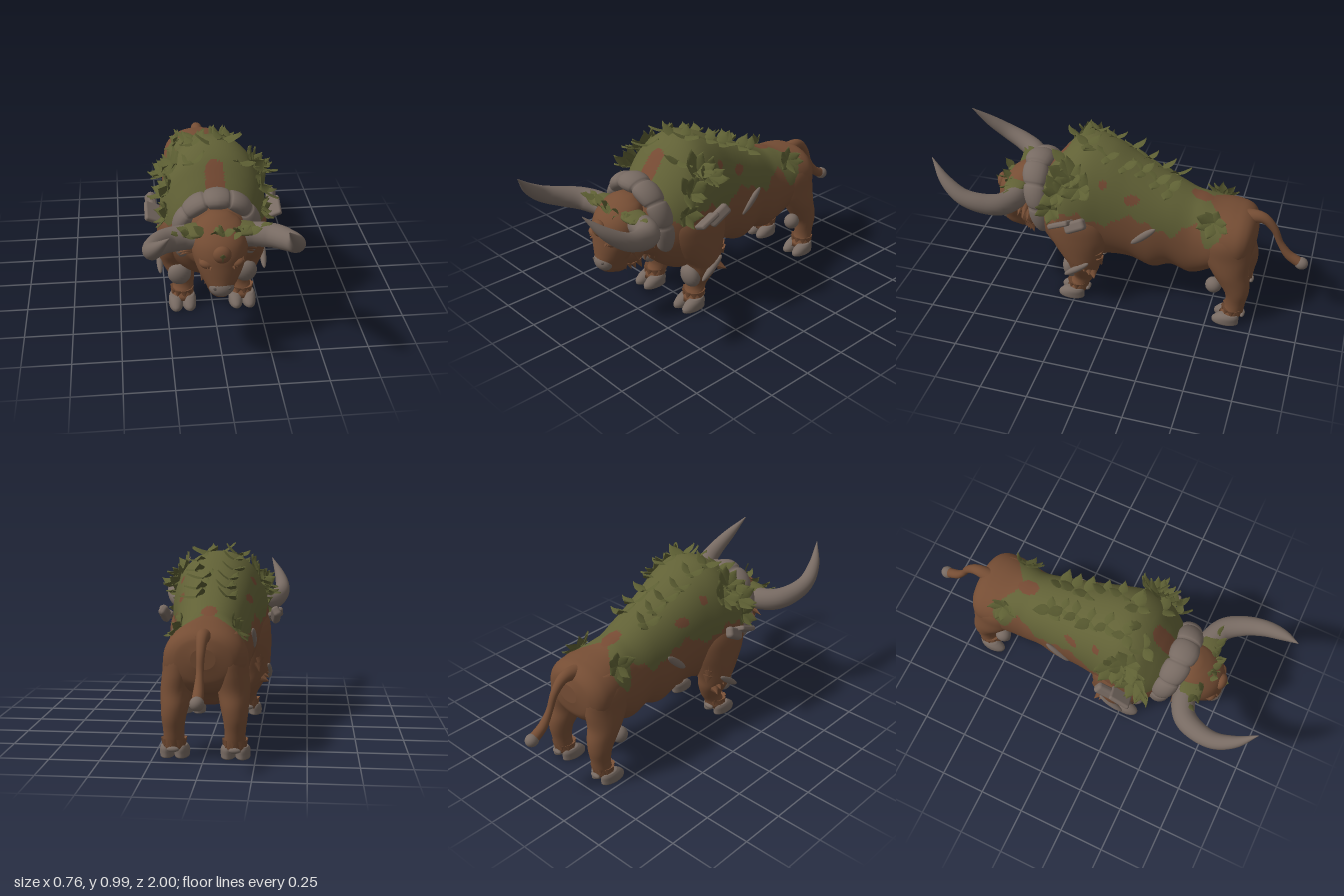
import * as THREE from 'three';
import { RoundedBoxGeometry } from 'three/addons/geometries/RoundedBoxGeometry.js';

const V = (x, y, z) => new THREE.Vector3(x, y, z);
const mat = (name, color, side = THREE.FrontSide) => {
  const m = new THREE.MeshStandardMaterial({ color, side });
  m.name = name;
  return m;
};

// Smooth interpolation of table rows [key, value, value, ...]
function sample(rows, k) {
  let i = 0;
  while (i < rows.length - 2 && k > rows[i + 1][0]) i++;
  const a = rows[i], b = rows[i + 1], p = rows[Math.max(i - 1, 0)], n = rows[Math.min(i + 2, rows.length - 1)];
  const h = b[0] - a[0], t = THREE.MathUtils.clamp((k - a[0]) / h, 0, 1), t2 = t * t, t3 = t2 * t;
  return a.slice(1).map((v, j) => {
    const w = b[j + 1];
    const m0 = (w - p[j + 1]) / (b[0] - p[0]) * h, m1 = (n[j + 1] - v) / (n[0] - a[0]) * h;
    return (2 * t3 - 3 * t2 + 1) * v + (t3 - 2 * t2 + t) * m0 + (3 * t2 - 2 * t3) * w + (t3 - t2) * m1;
  });
}

// Closed skin over rings point(u, angle); pick(centre) chooses a material slot
function loft(point, nu, nt, pick = () => 0) {
  const pts = [], slots = [[], [], []];
  for (let i = 0; i <= nu; i++)
    for (let j = 0; j < nt; j++) pts.push(point(i / nu, j / nt * Math.PI * 2));
  const face = (a, b, c) => {
    const mid = V(0, 0, 0).add(pts[a]).add(pts[b]).add(pts[c]).divideScalar(3);
    slots[pick(mid)].push(a, b, c);
  };
  for (let i = 0; i < nu; i++)
    for (let j = 0; j < nt; j++) {
      const a = i * nt + j, b = i * nt + (j + 1) % nt;
      face(a, b, b + nt);
      face(a, b + nt, a + nt);
    }
  for (const row of [0, nu]) {
    const c = V(0, 0, 0);
    for (let j = 0; j < nt; j++) c.addScaledVector(pts[row * nt + j], 1 / nt);
    const id = pts.push(c) - 1;
    for (let j = 0; j < nt; j++) {
      const a = row * nt + j, b = row * nt + (j + 1) % nt;
      if (row) face(a, b, id); else face(b, a, id);
    }
  }
  const g = new THREE.BufferGeometry().setFromPoints(pts);
  g.setIndex(slots.flat());
  let start = 0;
  slots.forEach((s, k) => { if (s.length) g.addGroup(start, s.length, k); start += s.length; });
  g.computeVertexNormals();
  return g;
}

// Stack of horizontal ellipses, rows [y, cx, cz, rx, rz]
function column(rows, side = 1, nt = 24, nu = 32) {
  const y0 = rows[0][0], y1 = rows[rows.length - 1][0];
  return loft((u, t) => {
    const y = y0 + (y1 - y0) * u, [cx, cz, rx, rz] = sample(rows, y);
    return V(cx * side + rx * Math.cos(t), y, cz - rz * Math.sin(t));
  }, nu, nt);
}

// Tapering tube along points [x, y, z, radius]
function taper(list, side = 1, nu = 48, nt = 20) {
  const curve = new THREE.CatmullRomCurve3(list.map(p => V(p[0] * side, p[1], p[2])));
  const f = curve.computeFrenetFrames(nu, false);
  const radii = list.map((p, i) => [i / (list.length - 1), p[3]]);
  return loft((u, t) => {
    const i = Math.round(u * nu), r = sample(radii, u)[0];
    return curve.getPoint(u).addScaledVector(f.normals[i], r * Math.cos(t)).addScaledVector(f.binormals[i], r * Math.sin(t));
  }, nu, nt);
}

// Body stations: z, top, bottom, half width
const BODY = [[-0.715, 0.55, 0.45, 0.06], [-0.70, 0.60, 0.38, 0.14], [-0.66, 0.635, 0.33, 0.19], [-0.6, 0.65, 0.31, 0.205],
  [-0.5, 0.665, 0.27, 0.198], [-0.43, 0.685, 0.22, 0.185], [-0.37, 0.70, 0.20, 0.18], [-0.27, 0.745, 0.235, 0.188],
  [-0.17, 0.79, 0.20, 0.205], [-0.05, 0.85, 0.245, 0.218], [0.08, 0.92, 0.245, 0.24], [0.2, 0.945, 0.205, 0.268],
  [0.3, 0.90, 0.205, 0.272], [0.38, 0.81, 0.255, 0.235], [0.45, 0.72, 0.33, 0.185], [0.52, 0.67, 0.37, 0.145], [0.57, 0.62, 0.42, 0.1]];
function bodyPoint(z, t) {
  const [top, bottom, w] = sample(BODY, z), half = (top - bottom) / 2;
  const c = Math.cos(t), s = Math.sin(t);
  return V(w * Math.sign(c) * Math.abs(c) ** 0.92, bottom + half + half * Math.sign(s) * Math.abs(s) ** 0.92, z);
}
// Lower edge of the moss along z
const MOSS = [[-0.62, 0.76], [-0.57, 0.68], [-0.545, 0.57], [-0.52, 0.5], [-0.46, 0.51], [-0.41, 0.6], [-0.35, 0.57], [-0.28, 0.52],
  [-0.22, 0.55], [-0.12, 0.6], [-0.04, 0.62], [0.04, 0.57], [0.12, 0.57], [0.2, 0.62], [0.3, 0.6], [0.36, 0.53], [0.42, 0.6], [0.5, 0.72]];
function bodySlot(p) {
  const back = Math.hypot(p.x, (p.z + 0.41) * 0.7) < 0.042;
  if (back) return 2;
  const rump = p.z < -0.44 - Math.abs(p.x) * 0.75;
  if (rump || p.y < sample(MOSS, p.z)[0] + 0.012 * Math.sin(p.z * 70)) return 0;
  const front = Math.hypot(p.x / 0.047, Math.max(p.y - 0.85, 0) / 0.035) < 1 && p.z > 0.25;
  const flank = Math.hypot(p.z + 0.07, (p.y - 0.71) * 1.6) < 0.04 || Math.hypot(p.z - 0.08, p.y - 0.79) < 0.022;
  return front || flank ? 2 : 1;
}

export function createModel() {
  const root = new THREE.Group();
  root.name = 'mossyBull';
  const hide = mat('brownHide', 0x754d34), moss = mat('moss', 0x616136), patch = mat('redBrownPatch', 0x754a33);
  const horn = mat('greyHorn', 0x776a62), leafMat = mat('leafGreen', 0x5d5f33, THREE.DoubleSide), shade = mat('darkGrey', 0x5a504a);
  let seed = 7;
  const rnd = (a = 0, b = 1) => { seed = (seed * 16807) % 2147483647; return a + (b - a) * seed / 2147483647; };
  const add = (name, geo, m) => {
    const mesh = new THREE.Mesh(geo, m);
    mesh.name = name;
    root.add(mesh);
    return mesh;
  };
  const ball = new THREE.SphereGeometry(1, 22, 16);
  const blob = (name, m, pos, size, rot = [0, 0, 0]) => {
    const b = add(name, ball, m);
    b.position.set(...pos); b.scale.set(...size); b.rotation.set(...rot);
  };
  const slab = (name, pos, size, rot) => {
    const b = add(name, new RoundedBoxGeometry(...size, 3, Math.min(...size) * 0.4), horn);
    b.position.set(...pos); b.rotation.set(...rot);
  };
  // Pointed, folded leaf growing along +y and curling towards +z
  const leafGeo = new THREE.PlaneGeometry(1, 1, 2, 6);
  const lp = leafGeo.attributes.position;
  for (let i = 0; i < lp.count; i++) {
    const s = lp.getY(i) + 0.5, x = lp.getX(i) * 2;
    lp.setXYZ(i, x * 0.5 * Math.sin(Math.PI * (0.08 + 0.92 * s) ** 0.85), s, 0.3 * s * s - 0.15 * Math.abs(x));
  }
  leafGeo.computeVertexNormals();
  const leaf = (pos, dir, len, normal) => {
    const mesh = add('leaf', leafGeo, leafMat), y = dir.clone().normalize();
    const x = new THREE.Vector3().crossVectors(y, normal).normalize();
    mesh.quaternion.setFromRotationMatrix(new THREE.Matrix4().makeBasis(x, y, new THREE.Vector3().crossVectors(x, y)));
    mesh.position.copy(pos);
    mesh.scale.set(len * 0.66, len, len * 0.66);
  };
  const coneGeo = new THREE.ConeGeometry(1, 1, 6).translate(0, 0.4, 0);
  const tuft = (pos, dir, r, len) => {
    const mesh = add('furTuft', coneGeo, hide);
    mesh.position.copy(pos);
    mesh.quaternion.setFromUnitVectors(V(0, 1, 0), dir.normalize());
    mesh.scale.set(r, len, r);
  };

  // Body with moss cape
  add('body', loft((u, t) => bodyPoint(-0.0725 - 0.6425 * Math.cos(Math.PI * u), t), 150, 128, bodySlot), [hide, moss, patch]);

  // Head and face
  add('head', column([[0.3, 0, 0.615, 0.03, 0.04], [0.33, 0, 0.64, 0.055, 0.08], [0.38, 0, 0.645, 0.076, 0.098], [0.44, 0, 0.635, 0.105, 0.108],
    [0.5, 0, 0.62, 0.128, 0.12], [0.56, 0, 0.61, 0.138, 0.125], [0.62, 0, 0.595, 0.13, 0.115], [0.68, 0, 0.565, 0.1, 0.08], [0.715, 0, 0.55, 0.04, 0.035]], 1, 32), hide);
  blob('jaw', hide, [0, 0.43, 0.55], [0.1, 0.115, 0.1]);
  blob('muzzle', horn, [0, 0.383, 0.705], [0.062, 0.05, 0.047]);
  blob('foreheadKnot', hide, [0, 0.575, 0.725], [0.045, 0.045, 0.03]);
  leaf(V(0, 0.55, 0.752), V(0, 1, 0.1), 0.05, V(0, 0, 1));
  for (let i = -4; i <= 4; i++) {
    tuft(V(i * 0.014, 0.335, 0.64 - Math.abs(i) * 0.02), V(i * 0.1, -1, -0.2), 0.018, 0.05 - Math.abs(i) * 0.003);
    tuft(V(i * 0.02, 0.6 - Math.abs(i) * 0.015, 0.712 - Math.abs(i) * 0.006), V(i * 0.12, -0.7, 0.7), 0.02, 0.045);
  }

  // Tail
  add('tail', taper([[0, 0.595, -0.63, 0.045], [0, 0.605, -0.735, 0.03], [0, 0.545, -0.8, 0.021], [0, 0.46, -0.84, 0.018],
    [0, 0.39, -0.89, 0.025], [0, 0.35, -0.95, 0.028]]), hide);
  blob('tailTip', horn, [0, 0.345, -0.963], [0.034, 0.034, 0.037]);

  // Segmented neck collar
  add('neckCollar', loft((u, t) => {
    const a = (u * 2 - 1) * 2.15, seg = Math.abs(Math.sin(u * 7 * Math.PI)) ** 0.35, ny = Math.cos(a);
    const r = 1 + (0.032 + 0.016 * seg) * Math.cos(t) / 0.2, k = (0.058 + 0.02 * seg) * (1 - 0.35 * Math.abs(u * 2 - 1));
    return V(0.185 * Math.sin(a) * r, 0.56 + (ny > 0 ? 0.2 : 0.24) * ny * r, 0.455 + 0.04 * ny + k * Math.sin(t));
  }, 112, 18), horn);

  const clusters = [];
  for (const s of [1, -1]) {
    // Horns
    add('horn', taper([[0.08, 0.6, 0.585, 0.056], [0.18, 0.6, 0.585, 0.062], [0.27, 0.61, 0.63, 0.06], [0.32, 0.635, 0.72, 0.053],
      [0.336, 0.675, 0.82, 0.044], [0.314, 0.745, 0.915, 0.03], [0.265, 0.84, 1.0, 0.002]], s), horn);
    // Face details
    blob('brow', hide, [s * 0.07, 0.515, 0.7], [0.04, 0.025, 0.03], [0, 0, s * 0.3]);
    blob('nostril', shade, [s * 0.034, 0.392, 0.741], [0.011, 0.007, 0.006], [0, 0, s * 0.5]);
    for (const i of [0, 1, 2]) tuft(V(s * 0.12, 0.545 - i * 0.02, 0.57 - i * 0.02), V(s, -0.3 - i * 0.15, -0.1), 0.028, 0.12 - i * 0.015);
    for (let i = 0; i < 5; i++) {
      tuft(V(s * (0.085 - i * 0.004), 0.46 - i * 0.028, 0.6 - i * 0.015), V(s * 0.35, -1, -0.3), 0.022, 0.05);
      tuft(V(s * (0.05 + i * 0.012), 0.51 + i * 0.006, 0.715 - i * 0.008), V(s * 0.4, -0.4, 1), 0.016, 0.035);
    }

    // Legs, hooves and ankle fur
    add('frontLeg', column([[0.04, 0.163, 0.25, 0.062, 0.06], [0.08, 0.158, 0.235, 0.058, 0.054], [0.12, 0.152, 0.215, 0.056, 0.058],
      [0.2, 0.17, 0.205, 0.08, 0.083], [0.26, 0.185, 0.2, 0.094, 0.09], [0.34, 0.188, 0.215, 0.1, 0.13], [0.45, 0.185, 0.23, 0.105, 0.17],
      [0.55, 0.18, 0.24, 0.1, 0.165], [0.66, 0.165, 0.24, 0.065, 0.09]], s), hide);
    add('hindLeg', column([[0.04, 0.15, -0.625, 0.06, 0.06], [0.09, 0.15, -0.645, 0.053, 0.052], [0.14, 0.15, -0.65, 0.052, 0.055],
      [0.2, 0.15, -0.65, 0.06, 0.066], [0.26, 0.145, -0.63, 0.07, 0.085], [0.33, 0.14, -0.6, 0.08, 0.1], [0.42, 0.125, -0.575, 0.088, 0.13],
      [0.52, 0.115, -0.565, 0.088, 0.13], [0.61, 0.1, -0.56, 0.05, 0.08]], s), hide);
    for (const [x, z, ankle] of [[0.163, 0.275, 0.242], [0.15, -0.605, -0.637]]) {
      for (const d of [-0.036, 0.036])
        add('hoof', column([[0, x * s + d, z, 0.037, 0.074], [0.02, x * s + d, z, 0.038, 0.074], [0.045, x * s + d, z - 0.012, 0.036, 0.062],
          [0.062, x * s + d, z - 0.022, 0.027, 0.044]], 1, 18, 12), horn);
      for (let i = 0; i < 9; i++) {
        const a = i * 0.698;
        tuft(V(x * s + 0.046 * Math.cos(a), 0.085, ankle + 0.044 * Math.sin(a)), V(Math.cos(a) * 0.5, -1, Math.sin(a) * 0.5), 0.024, 0.034);
      }
      blob('dewclaw', horn, [x * s, 0.05, ankle - 0.055], [0.03, 0.014, 0.014]);
    }

    // Knee pads and armour plates
    blob('frontKneePad', horn, [s * 0.178, 0.2, 0.278], [0.063, 0.068, 0.045], [0.15, 0, 0]);
    blob('hindKneePad', horn, [s * 0.165, 0.23, -0.525], [0.042, 0.045, 0.045]);
    blob('elbowPlate', horn, [s * 0.28, 0.262, 0.215], [0.018, 0.018, 0.088], [0.65, 0, 0]);
    for (let i = 0; i < 5; i++) tuft(V(s * 0.25, 0.23 + i * 0.018, 0.13 + i * 0.028), V(s, -0.3, -0.5), 0.024, 0.045);
    slab('shoulderPlate', [s * 0.315, 0.585, 0.2], [0.045, 0.062, 0.13], [0.55, -s * 0.1, s * 0.5]);
    slab('shoulderPlate', [s * 0.312, 0.578, 0.28], [0.09, 0.028, 0.12], [0.4, 0, s * 0.5]);
    blob('flankSpike', horn, [s * 0.21, 0.51, -0.14], [0.016, 0.02, 0.09], [0.75, 0, 0]);

    // Chest and shoulder fur
    for (let i = 0; i < 6; i++) {
      tuft(V(s * (0.02 + i * 0.025), 0.36 + i * 0.014, 0.45 - i * 0.012), V(s * 0.1, -1, 0.2), 0.03, 0.07);
      tuft(V(s * 0.225, 0.32 + i * 0.03, 0.1 + i * 0.006), V(s * 0.1, -1, -0.4), 0.03, 0.05);
    }

    // Leaf clusters: [z, surface angle, leaf count, length, lift]
    for (const c of [[0.32, 0.5, 8, 0.11], [0.26, 0.72, 8, 0.12], [0.2, 0.52, 7, 0.11], [0.36, 0.22, 6, 0.09]]) clusters.push([s, ...c, 0.5]);
    clusters.push([s, -0.5, 0.85, 7, 0.1, 0.3]);
    for (const z of [0.31, 0.2, 0.09, 0, -0.09, -0.17, -0.24]) clusters.push([s, z, rnd(1.1, 1.4), 3, 0.09, 0.22]);
    // Garland over the horn roots
    for (let i = 0; i < 10; i++)
      leaf(V(s * (0.01 + i * 0.021), 0.655 + rnd(-0.012, 0.012), 0.665 - i * 0.005), V(s * rnd(-1, 1), rnd(-0.1, 0.4), rnd(-0.2, 0.4)), rnd(0.05, 0.075), V(0, 0.8, 0.6));
    blob('hornMoss', moss, [s * 0.12, 0.645, 0.6], [0.085, 0.022, 0.06], [0.1, 0, -s * 0.05]);
  }

  for (const [s, z, t, count, len, lift] of clusters) {
    const base = bodyPoint(z, t), n = base.clone().sub(V(0, 0.55, z)).normalize();
    base.x *= s; n.x *= s;
    const side = new THREE.Vector3().crossVectors(n, V(0, 0, 1)).normalize();
    for (let i = 0; i < count; i++) {
      const a = i / count * 6.28 + rnd(-0.3, 0.3);
      const dir = n.clone().multiplyScalar(lift * rnd(0.6, 1.4)).addScaledVector(side, Math.cos(a)).add(V(0, 0, Math.sin(a)));
      leaf(base.clone().addScaledVector(n, 0.004), dir, len * rnd(0.75, 1.05), n);
    }
  }
  // Tall fronds on the hump
  leaf(V(0.0, 0.935, 0.22), V(-0.9, 0.4, 0.1), 0.1, V(0, 1, 0));
  leaf(V(0.04, 0.93, 0.18), V(1, 0.12, 0.1), 0.12, V(0, 1, 0));
  return root;
}
